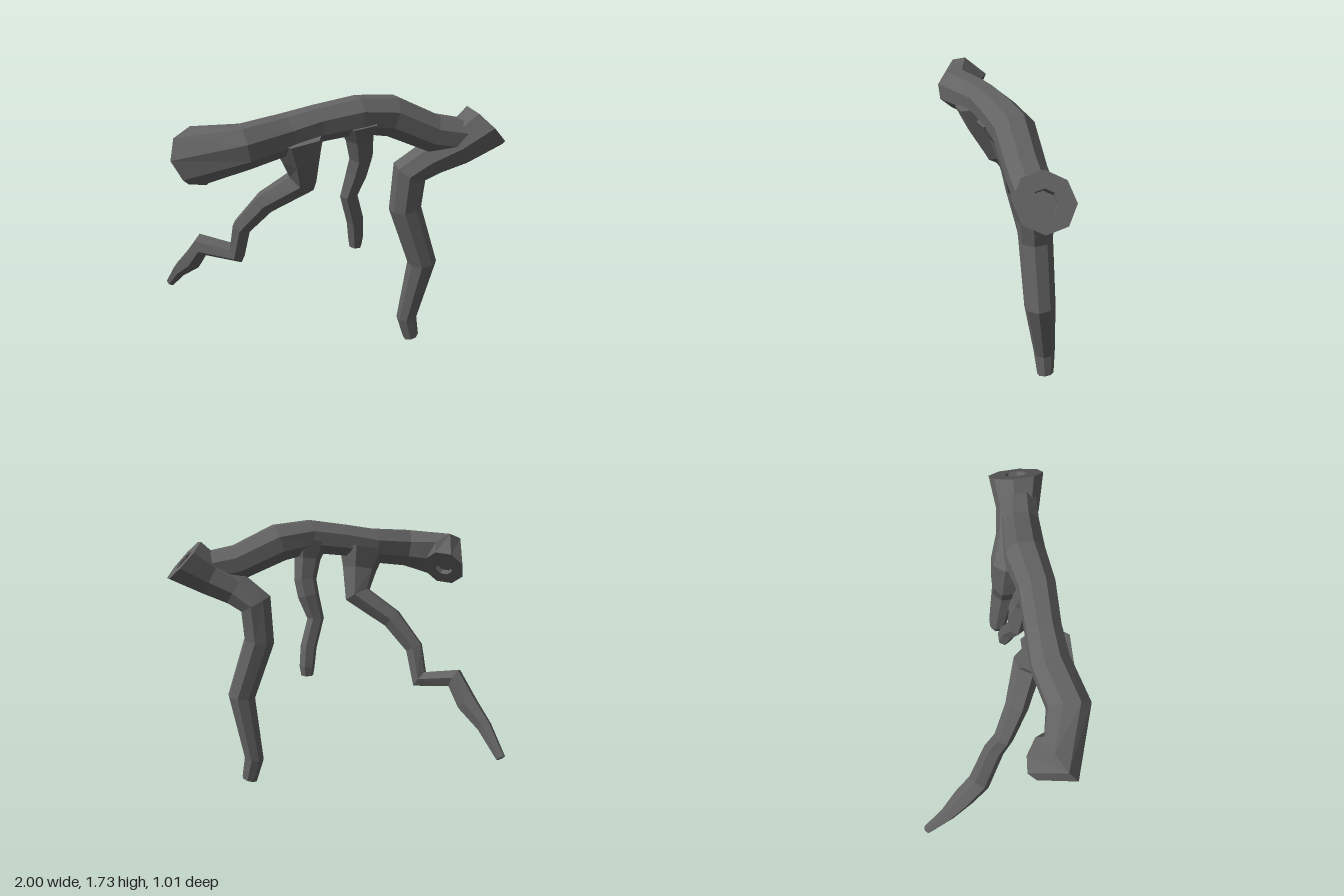
import * as THREE from 'three';

const bark = new THREE.MeshStandardMaterial({ color: 0x636363, flatShading: true });
bark.name = 'dark grey bark';

// Faceted limb through rows of [x, y, z, radius, (optional cut direction nx, ny, nz)].
// A hollow limb has a small recess in its last cap.
function limb(name, rows, sides, hollow = false) {
  const pts = rows.map(r => new THREE.Vector3(r[0], r[1], r[2]));
  const rings = [];
  let u = new THREE.Vector3(0, 0, 1);
  rows.forEach((row, i) => {
    const t = new THREE.Vector3();
    if (row.length > 4) t.set(row[4], row[5], row[6]);
    else {
      if (i > 0) t.add(pts[i].clone().sub(pts[i - 1]).normalize());
      if (i < pts.length - 1) t.add(pts[i + 1].clone().sub(pts[i]).normalize());
    }
    t.normalize();
    // carry the previous frame along so the facets do not twist
    if (i > 0) {
      const prev = rings[i - 1];
      u = prev.u.clone().applyQuaternion(new THREE.Quaternion().setFromUnitVectors(prev.t, t));
    }
    u = u.clone().addScaledVector(t, -u.dot(t)).normalize();
    rings.push({ c: pts[i], r: row[3], t, u, v: t.clone().cross(u) });
  });
  if (hollow) {
    const end = rings[rings.length - 1];
    const r = end.r * 0.42;
    rings.push({ ...end, r });
    rings.push({ ...end, r, c: end.c.clone().addScaledVector(end.t, -0.04) });
  }

  const pos = [], index = [];
  for (const g of rings) {
    for (let j = 0; j < sides; j++) {
      const a = (j + 0.5) / sides * Math.PI * 2;
      const p = g.c.clone()
        .addScaledVector(g.u, Math.cos(a) * g.r)
        .addScaledVector(g.v, Math.sin(a) * g.r);
      pos.push(p.x, p.y, p.z);
    }
  }
  const last = rings.length - 1;
  const startCap = rings.length * sides, endCap = startCap + 1;
  pos.push(...rings[0].c.toArray(), ...rings[last].c.toArray());
  for (let j = 0; j < sides; j++) {
    const k = (j + 1) % sides;
    for (let i = 0; i < last; i++) {
      const a = i * sides + j, b = i * sides + k;
      index.push(a, b, b + sides, a, b + sides, a + sides);
    }
    index.push(startCap, k, j, endCap, last * sides + j, last * sides + k);
  }
  const indexed = new THREE.BufferGeometry();
  indexed.setAttribute('position', new THREE.Float32BufferAttribute(pos, 3));
  indexed.setIndex(index);
  const geo = indexed.toNonIndexed();
  geo.computeVertexNormals();
  const mesh = new THREE.Mesh(geo, bark);
  mesh.name = name;
  return mesh;
}

export function createModel() {
  const group = new THREE.Group();
  group.name = 'archedRoot';

  // Arched main root, curling back and down to a hollow cut end
  group.add(limb('mainRoot', [
    [0.76, 1.44, 0.32, 0.11],
    [0.55, 1.48, 0.30, 0.115],
    [0.29, 1.6, 0.28, 0.122],
    [0.08, 1.63, 0.31, 0.11],
    [-0.15, 1.6, 0.31, 0.105],
    [-0.33, 1.56, 0.32, 0.115],
    [-0.58, 1.53, 0.385, 0.125],
    [-0.83, 1.48, 0.31, 0.16, -0.4, -0.35, -0.85],
    [-0.8, 1.41, 0.22, 0.138, 0.5, -0.55, -0.67],
  ], 8, true));

  // Long supporting root, bending up into the flared hollow end
  group.add(limb('longRoot', [
    [0.535, 0.02, 0.19, 0.052, -0.3, 0.95, 0],
    [0.5, 0.17, 0.185, 0.066],
    [0.565, 0.6, 0.235, 0.092],
    [0.44, 0.98, 0.215, 0.1],
    [0.455, 1.22, 0.225, 0.112],
    [0.57, 1.31, 0.27, 0.112],
    [0.72, 1.39, 0.31, 0.13],
    [0.89, 1.5, 0.32, 0.165, 0.72, 0.69, 0],
  ], 8, true));

  // Short hanging root
  group.add(limb('middleRoot', [
    [0.09, 1.6, 0.31, 0.13],
    [0.105, 1.49, 0.29, 0.085],
    [0.125, 1.36, 0.265, 0.073],
    [0.11, 1.26, 0.24, 0.07],
    [0.067, 1.11, 0.22, 0.055],
    [0.12, 0.93, 0.19, 0.054],
    [0.135, 0.8, 0.17, 0.05],
    [0.135, 0.74, 0.165, 0.04],
  ], 6));

  // Crooked root winding backwards
  group.add(limb('crookedRoot', [
    [-0.27, 1.55, 0.32, 0.16],
    [-0.245, 1.41, 0.3, 0.115],
    [-0.22, 1.25, 0.24, 0.09],
    [-0.43, 1.1, 0.15, 0.07],
    [-0.56, 0.92, 0.06, 0.06],
    [-0.585, 0.72, 0.0, 0.066],
    [-0.78, 0.75, -0.12, 0.07],
    [-0.835, 0.61, -0.22, 0.068],
    [-0.91, 0.49, -0.34, 0.048],
    [-0.968, 0.33, -0.485, 0.03],
  ], 6));

  return group;
}
